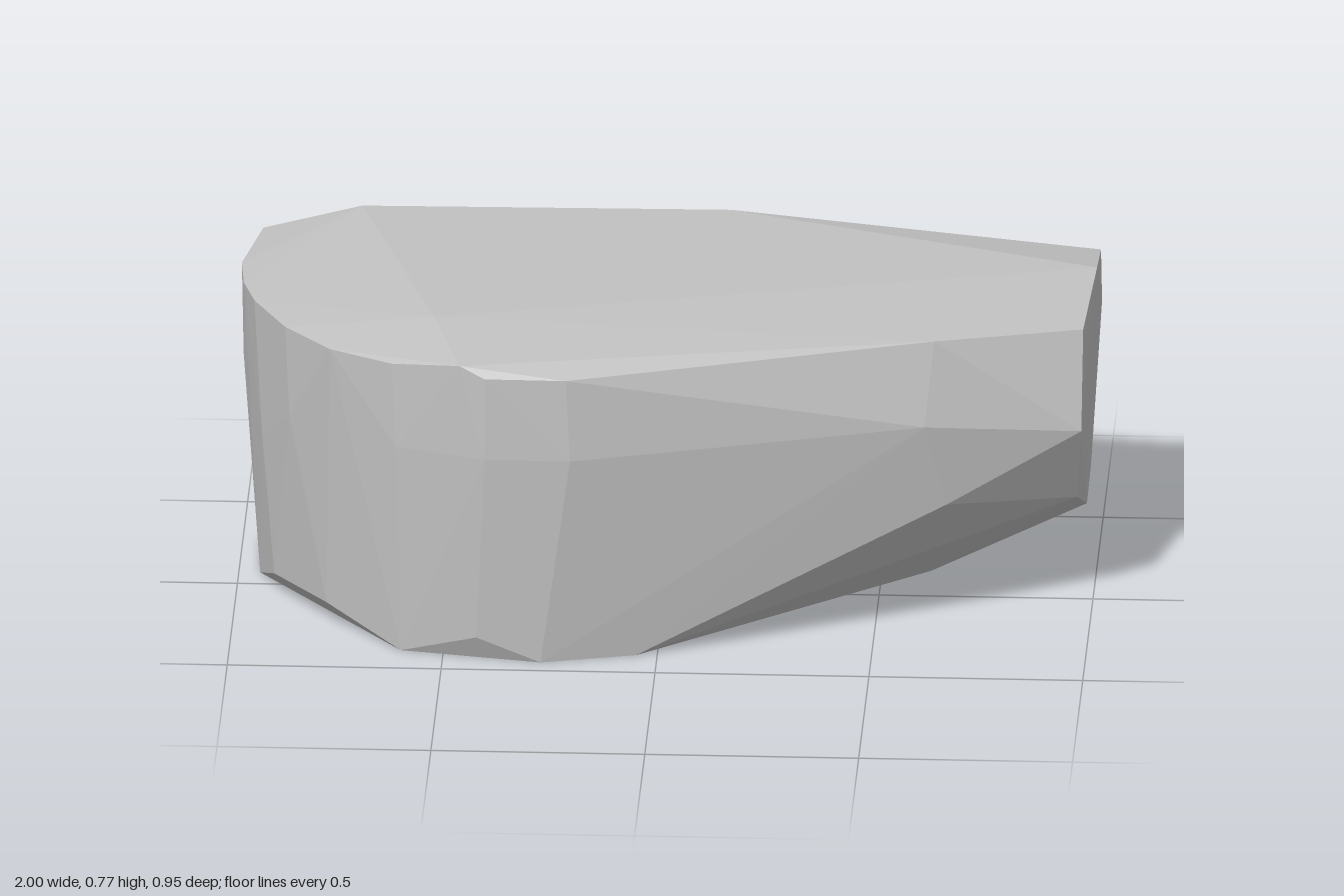
import * as THREE from 'three';
import { ConvexGeometry } from 'three/addons/geometries/ConvexGeometry.js';

// Builds a flat-faced stone as the hull of a few rings of chipped corners.
function hull(...rings) {
  return new ConvexGeometry(rings.flat().map(([x, y, z]) => new THREE.Vector3(x, y, z)));
}

export function createModel() {
  const group = new THREE.Group();
  group.name = 'boulder';
  const stone = new THREE.MeshStandardMaterial({ color: 0xc1c1c1, flatShading: true });
  stone.name = 'pale grey stone';

  // flat underside
  const base = [
    [-0.89, 0, -0.43], [-0.96, 0, -0.25], [-0.95, 0, -0.07], [-0.6, 0, 0.39],
    [-0.27, 0, 0.45], [-0.05, 0, 0.395], [0.3, 0, -0.15], [0.09, 0, -0.475],
  ];
  // chipped lower edge
  const lower = [
    [-0.91, 0.06, 0.08], [-0.78, 0.06, 0.25], [-0.42, 0.06, 0.45], [0.62, 0.055, -0.02],
    [0.62, 0.02, -0.29], [0.62, 0.075, -0.44],
  ];
  // waist
  const middle = [
    [-0.97, 0.37, -0.43], [-0.995, 0.5, -0.2], [-0.94, 0.4, 0.05], [-0.87, 0.5, 0.18],
    [-0.61, 0.52, 0.405], [-0.4, 0.52, 0.475], [-0.2, 0.52, 0.478],
    [0.62, 0.545, 0.29], [0.67, 0.335, 0.25],
  ];
  // cut face at the narrow end
  const end = [
    [0.98, 0.485, 0.15], [0.98, 0.705, 0.06], [1, 0.755, -0.2], [1, 0.72, -0.395],
    [1, 0.57, -0.445], [0.95, 0.21, -0.445], [0.98, 0.205, -0.32],
    [0.98, 0.19, -0.125], [0.965, 0.28, 0.055],
  ];
  // upper rim and top
  const top = [
    [-0.96, 0.72, -0.435], [-1, 0.72, -0.22], [-0.99, 0.72, -0.1], [-0.96, 0.72, 0.01],
    [-0.88, 0.72, 0.17], [-0.77, 0.72, 0.3], [-0.62, 0.725, 0.395], [-0.46, 0.745, 0.45],
    [-0.4, 0.72, 0.468], [-0.21, 0.72, 0.47], [0.64, 0.74, 0.235],
    [-0.73, 0.77, -0.46], [-0.53, 0.77, 0.21], [0.13, 0.77, -0.475],
  ];

  const rock = new THREE.Mesh(hull(base, lower, middle, end, top), stone);
  rock.name = 'rock';
  group.add(rock);
  return group;
}
